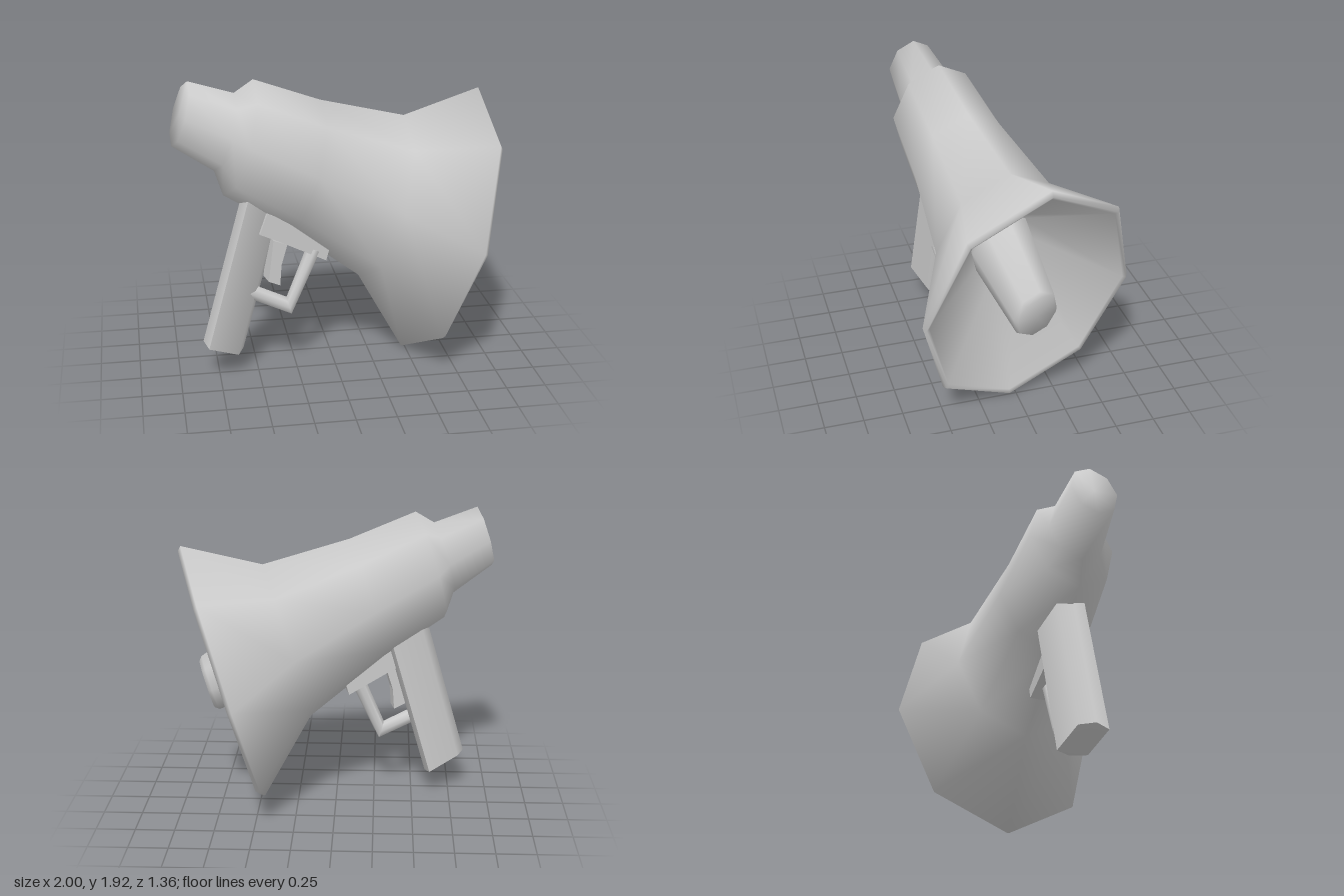
import * as THREE from 'three';
import { toCreasedNormals } from 'three/addons/utils/BufferGeometryUtils.js';
import { ConvexGeometry } from 'three/addons/geometries/ConvexGeometry.js';

const V = (x, y, z) => new THREE.Vector3(x, y, z);
const material = new THREE.MeshStandardMaterial({ color: 0xcccccc });

// Skin a row of eight-sided rings { c, u, v }: centre plus two half-axes. Rings advance along u x v.
function loft(rings, crease) {
  const sides = 8, pos = [], index = [];
  for (const { c, u, v } of rings) {
    for (let j = 0; j < sides; j++) {
      const t = (j / sides) * Math.PI * 2;
      pos.push(...c.clone().addScaledVector(u, Math.cos(t)).addScaledVector(v, Math.sin(t)));
    }
  }
  const last = rings.length - 1;
  pos.push(...rings[0].c, ...rings[last].c);
  const startCap = rings.length * sides, endCap = startCap + 1;
  for (let j = 0; j < sides; j++) {
    const k = (j + 1) % sides;
    for (let i = 0; i < last; i++) {
      const a = i * sides, b = a + sides;
      index.push(a + j, a + k, b + k, a + j, b + k, b + j);
    }
    index.push(startCap, k, j, endCap, last * sides + j, last * sides + k);
  }
  const g = new THREE.BufferGeometry();
  g.setAttribute('position', new THREE.Float32BufferAttribute(pos, 3));
  g.setIndex(index);
  return toCreasedNormals(g, crease);
}

// Oval horn section of relative size r, placed on the slanted horn axis at x
const up = V(0.245, 0.865, -0.05), side = V(0.125, 0.01, 0.68);
const hornRing = ([x, r]) => ({
  c: V(x, 0.87 - 0.52 * (x - 0.725), -0.18 * (x - 0.725)),
  u: up.clone().multiplyScalar(r),
  v: side.clone().multiplyScalar(r),
});

// Flat plate turned to follow the horn axis, centred on z
function plate(points, z, depth) {
  const shape = new THREE.Shape(points.map(([x, y]) => new THREE.Vector2(x, y)));
  const g = new THREE.ExtrudeGeometry(shape, { depth, bevelEnabled: false });
  return g.translate(0.25, 0, -depth / 2).rotateY(0.2).translate(-0.25, 0, z);
}

export function createModel() {
  const model = new THREE.Group();
  const add = (name, geometry) => {
    const mesh = new THREE.Mesh(geometry, material);
    mesh.name = name;
    model.add(mesh);
  };

  // Mouthpiece, body, flared bell, rolled rim and the hollow inside as one profile
  add('horn', loft([
    [-0.945, 0.222], [-0.682, 0.272], [-0.597, 0.408], [-0.193, 0.463], [0.318, 0.6],
    [0.723, 1], [0.745, 0.975], [0.735, 0.945], [0.35, 0.27],
  ].map(hornRing), 1.75));

  // Driver in the middle of the bell
  add('driver', loft([[0.33, 0.295], [0.38, 0.287], [0.81, 0.213], [0.832, 0.185]].map(hornRing), 1.75));

  // Slanted grip: a six-sided section swept upward into the horn
  const gripSection = [
    V(-0.82, 0.235, 0.38), V(-0.63, 0.145, 0.3), V(-0.59, 0.15, 0.2),
    V(-0.62, 0.165, 0.12), V(-0.81, 0.255, 0.2), V(-0.85, 0.26, 0.3),
  ];
  const gripTop = gripSection.map((p) => p.clone().add(V(0.272, 0.955, -0.057)));
  add('handle', toCreasedNormals(new ConvexGeometry([...gripSection, ...gripTop]), 1.1));

  // Block between grip and horn
  add('bracket', plate([
    [-0.5, 0.95], [-0.38, 0.89], [-0.065, 0.72], [-0.045, 0.79], [-0.15, 0.95], [-0.45, 1.08],
  ], 0.185, 0.14));

  // Trigger
  add('trigger', plate([
    [-0.41, 0.9], [-0.445, 0.63], [-0.37, 0.595], [-0.36, 0.73], [-0.32, 0.86],
  ], 0.2, 0.11));

  // Mitred guard around the trigger
  const guardV = V(0, 0, 0.05);
  add('triggerGuard', loft([
    { c: V(-0.13, 0.8, 0.19), u: V(0.043, -0.02, 0), v: guardV },
    { c: V(-0.295, 0.43, 0.22), u: V(0.016, -0.06, 0), v: guardV },
    { c: V(-0.56, 0.56, 0.24), u: V(-0.022, -0.043, 0), v: guardV },
  ], 1.1));

  return model;
}
